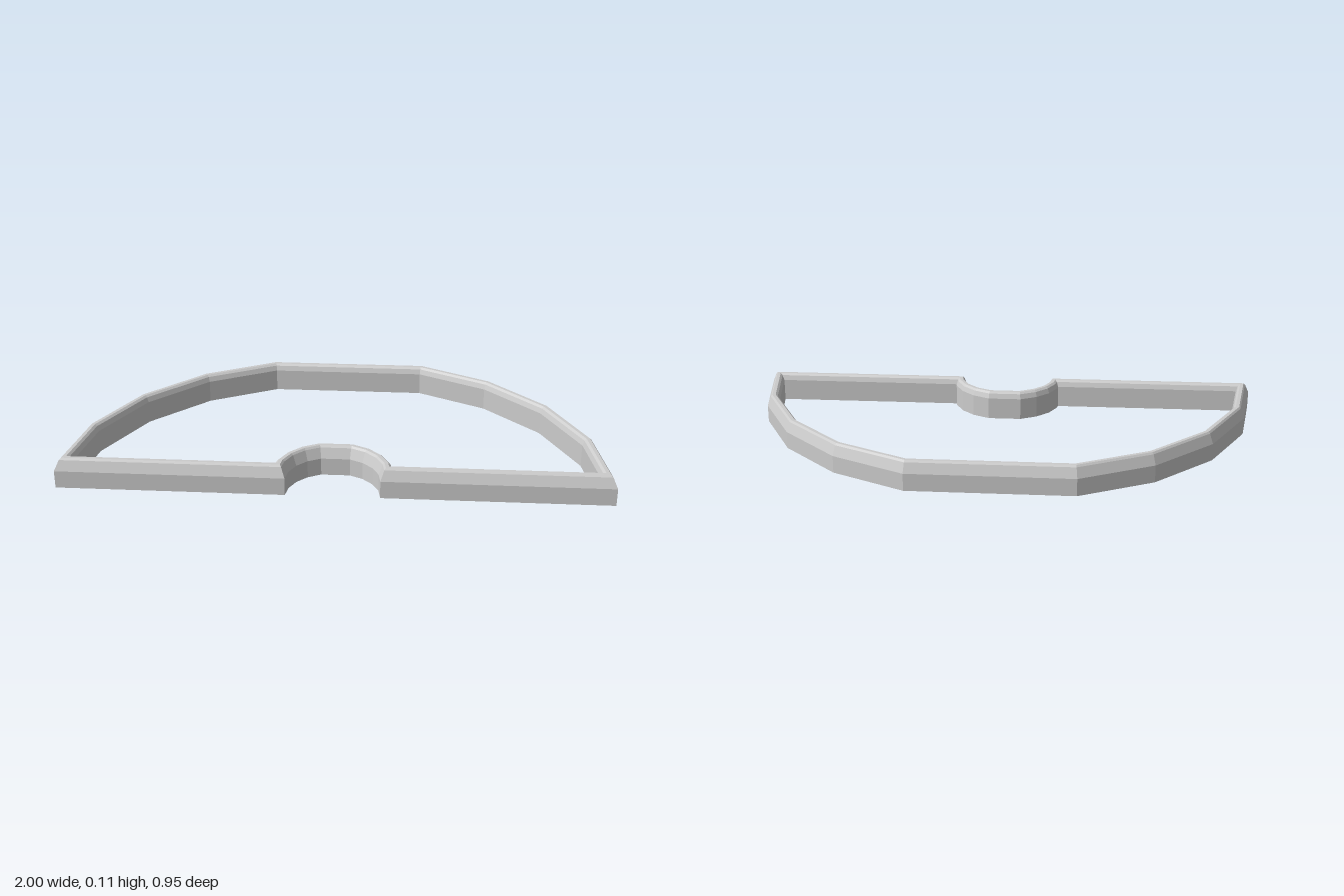
import * as THREE from 'three';

const FRONT = 0.4755;

// Half circle of 18 degree steps with a flat at the back
function arc(radius) {
  return [-90, -72, -54, -36, -18, 18, 36, 54, 72, 90].map((deg) => {
    const a = THREE.MathUtils.degToRad(deg);
    return new THREE.Vector2(radius * Math.sin(a), FRONT - radius * Math.cos(a));
  });
}

// Sweep a closed section [inset, height] round a closed plan outline with mitred corners
function sweepRim(path, section) {
  const n = path.length, m = section.length;
  const normal = (p, q) => new THREE.Vector2(p.y - q.y, q.x - p.x).normalize();
  const positions = [], index = [];
  path.forEach((p, i) => {
    const n1 = normal(path[(i + n - 1) % n], p);
    const n2 = normal(p, path[(i + 1) % n]);
    const miter = n1.clone().add(n2).divideScalar(1 + n1.dot(n2));
    for (const [d, y] of section) positions.push(p.x + miter.x * d, y, p.y + miter.y * d);
  });
  for (let i = 0; i < n; i++) {
    for (let j = 0; j < m; j++) {
      const i2 = (i + 1) % n, j2 = (j + 1) % m;
      const a = i * m + j, b = i2 * m + j, c = i * m + j2, d = i2 * m + j2;
      index.push(a, c, b, b, c, d);
    }
  }
  const indexed = new THREE.BufferGeometry();
  indexed.setAttribute('position', new THREE.Float32BufferAttribute(positions, 3));
  indexed.setIndex(index);
  const geometry = indexed.toNonIndexed();
  geometry.computeVertexNormals();
  return geometry;
}

export function createModel() {
  const group = new THREE.Group();
  group.name = 'halfRoundBorder';

  // Large half-round outline, returning along the front through a small notch
  const outline = [...arc(1), ...arc(0.17).reverse()];

  // Wall section: straight sides, bevelled shoulders and a narrow crest
  const section = [
    [0, 0], [0, 0.066], [0.015, 0.104], [0.021, 0.111],
    [0.034, 0.111], [0.042, 0.104], [0.049, 0.085], [0.049, 0],
  ];

  const rim = new THREE.Mesh(
    sweepRim(outline, section),
    new THREE.MeshStandardMaterial({ color: 0xcccccc, flatShading: true })
  );
  rim.name = 'rimWall';
  group.add(rim);
  return group;
}
